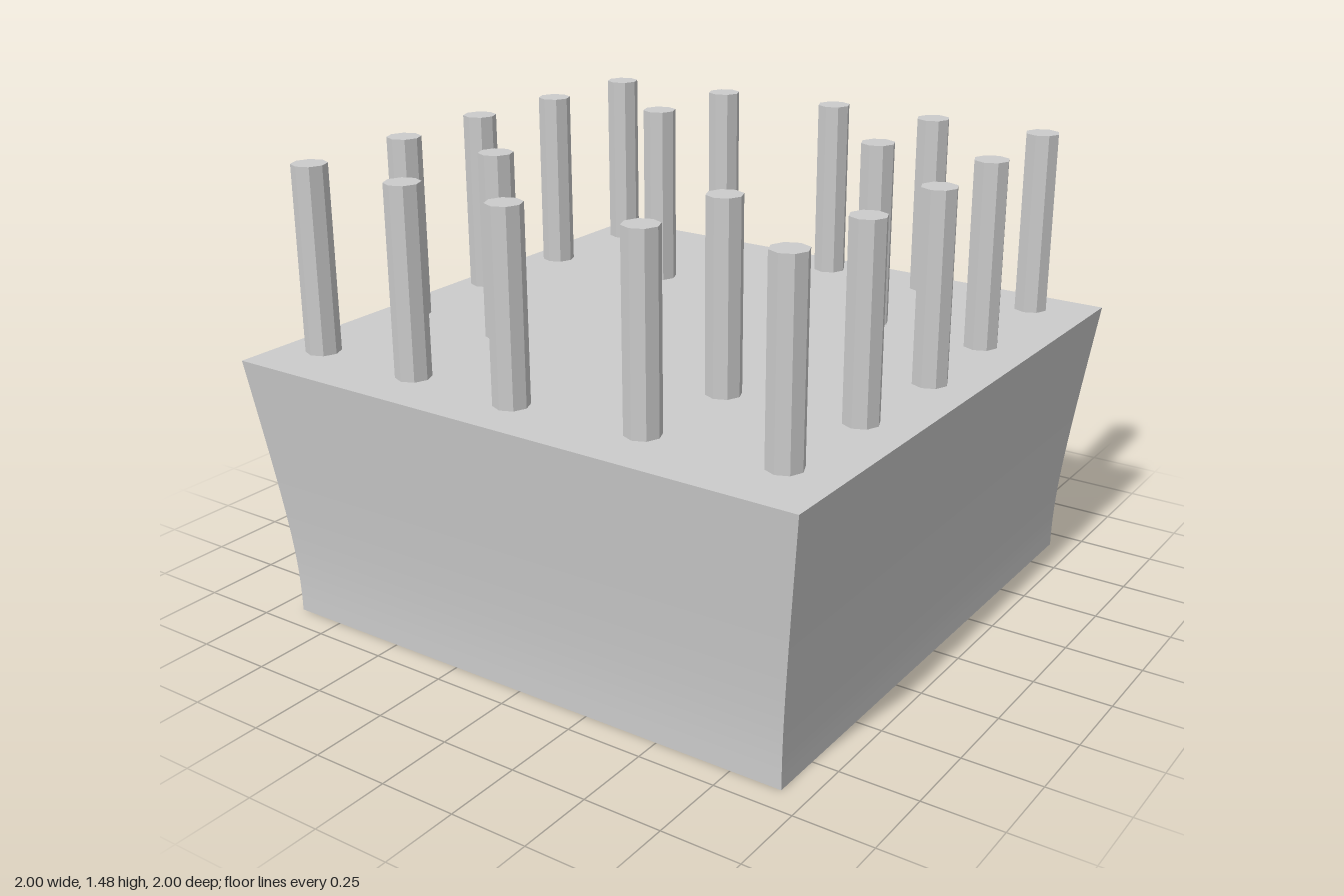
import * as THREE from 'three';

const BODY_H = 0.875, PIN_H = 0.6, PIN_R = 0.056;

// Pin centres as [x, z], row by row from back to front
const PINS = [
  [-0.885, -0.84], [-0.44, -0.86], [0.005, -0.885], [0.4, -0.87], [0.8, -0.86],
  [-0.895, -0.44], [-0.45, -0.465], [0.425, -0.43], [0.825, -0.415],
  [-0.91, -0.05], [0.845, -0.02],
  [-0.885, 0.35], [-0.49, 0.36], [0.385, 0.4], [0.83, 0.375],
  [-0.86, 0.79], [-0.465, 0.805], [-0.07, 0.82], [0.375, 0.79], [0.82, 0.77],
];

// Square block whose sides flare outward along a smooth curve
function flaredBlock() {
  const steps = 16;
  const flare = new THREE.CubicBezierCurve(
    new THREE.Vector2(0.916, 0), new THREE.Vector2(0.916, 0.2),
    new THREE.Vector2(0.93, 0.33), new THREE.Vector2(1, BODY_H));
  const geo = new THREE.BoxGeometry(2, 1, 2, 1, steps, 1);
  const pos = geo.attributes.position;
  for (let i = 0; i < pos.count; i++) {
    const p = flare.getPoint(THREE.MathUtils.clamp(pos.getY(i) + 0.5, 0, 1));
    pos.setXYZ(i, Math.sign(pos.getX(i)) * p.x, p.y, Math.sign(pos.getZ(i)) * p.x);
  }
  geo.computeVertexNormals();
  return geo;
}

export function createModel() {
  const model = new THREE.Group();
  model.name = 'pinBlock';

  const body = new THREE.Mesh(flaredBlock(), new THREE.MeshStandardMaterial({ color: 0xcccccc }));
  body.name = 'body';
  model.add(body);

  // Octagonal pins standing on the top face
  const pins = new THREE.Group();
  pins.name = 'pins';
  const pinGeo = new THREE.CylinderGeometry(PIN_R, PIN_R, PIN_H, 8);
  const pinMat = new THREE.MeshStandardMaterial({ color: 0xcccccc, flatShading: true });
  PINS.forEach(([x, z], i) => {
    const pin = new THREE.Mesh(pinGeo, pinMat);
    pin.name = `pin${i + 1}`;
    pin.position.set(x, BODY_H + PIN_H / 2, z);
    pins.add(pin);
  });
  model.add(pins);
  return model;
}
